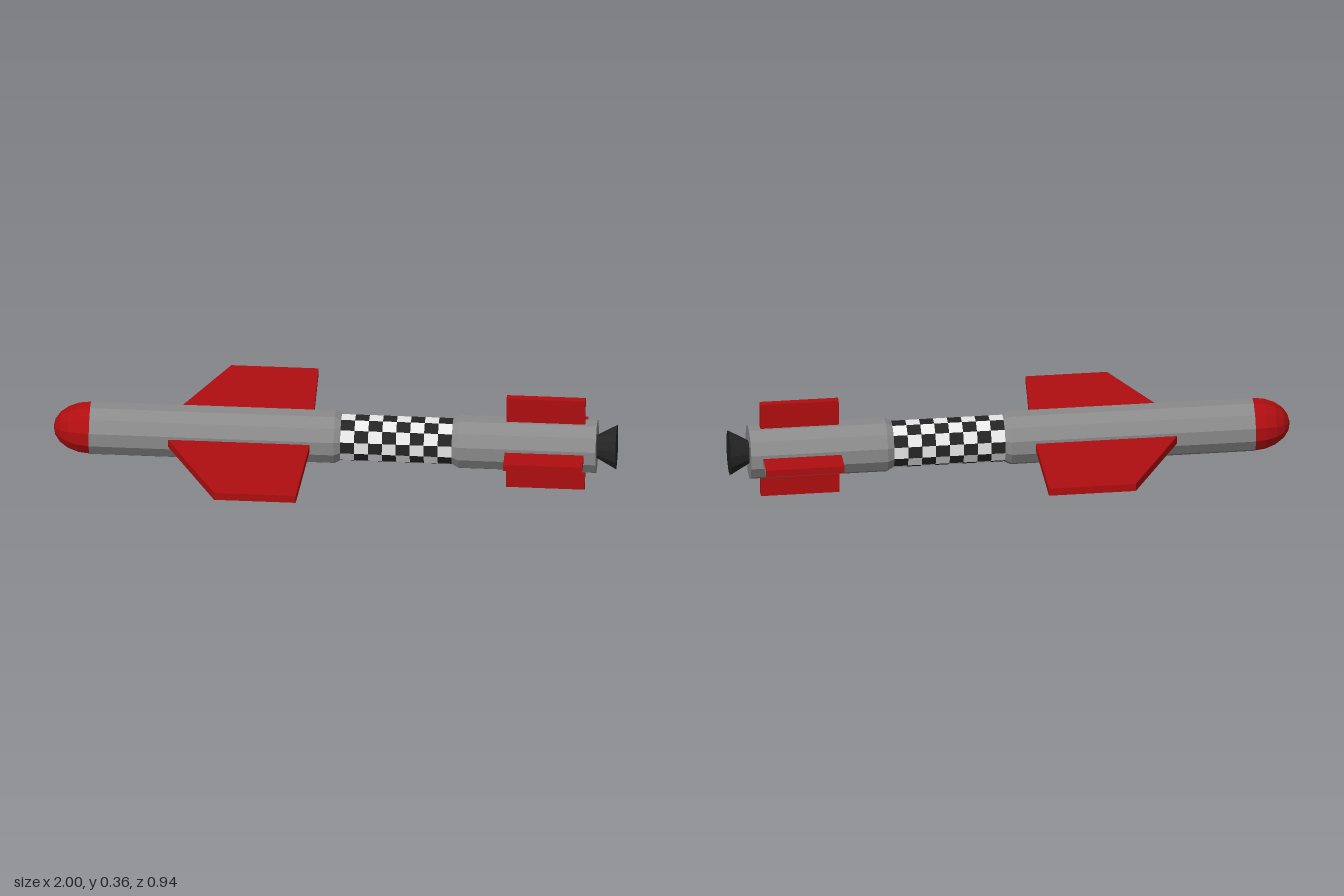
import * as THREE from 'three';

const SIDES = 12;
const material = (name, color) => {
  const m = new THREE.MeshStandardMaterial({ color });
  m.name = name;
  return m;
};

// Faceted twelve-sided body along x; points are [x, radius], running nose to tail
function turned(points) {
  const profile = points.map(([x, r]) => new THREE.Vector2(r, x));
  const geo = new THREE.LatheGeometry(profile, SIDES, Math.PI / SIDES).rotateZ(-Math.PI / 2).toNonIndexed();
  geo.computeVertexNormals();
  return geo;
}

export function createModel() {
  const red = material('red paint', 0xb00e10);
  const grey = material('grey metal', 0x8a8a8a);
  const white = material('white paint', 0xe8e8e8);
  const black = material('black', 0x242424);

  const model = new THREE.Group();
  model.name = 'missile';
  const body = new THREE.Group();
  body.name = 'airframe';
  model.add(body);
  const add = (name, geo, mat) => {
    const mesh = new THREE.Mesh(geo, mat);
    mesh.name = name;
    body.add(mesh);
    return mesh;
  };

  // Rounded nose
  const nose = [];
  for (let i = 0; i <= 5; i++) {
    const a = (i / 5) * Math.PI / 2;
    nose.push([-0.87 - 0.13 * Math.cos(a), 0.095 * Math.sin(a)]);
  }
  add('noseCone', turned(nose), red);

  // Front and tail tubes, chamfered down to the narrower middle
  add('frontTube', turned([[-0.87, 0.096], [0, 0.096], [0.022, 0.084]]), grey);
  add('tailTube', turned([[0.418, 0.084], [0.442, 0.097], [0.93, 0.097], [0.93, 0]]), grey);

  // Checkered middle: one check per facet and per column
  const columns = 8;
  const rings = [];
  for (let j = 0; j <= columns; j++) rings.push([0.022 + (0.396 * j) / columns, 0.084]);
  const checks = turned(rings);
  for (let i = 0; i < SIDES; i++) {
    for (let j = 0; j < columns; j++) checks.addGroup((i * columns + j) * 6, 6, (i + j) % 2);
  }
  add('checkeredSection', checks, [white, black]);

  // Flared, closed nozzle
  add('nozzle', turned([[0.93, 0.042], [1, 0.081], [1, 0]]), black);

  // Swept wings
  const wing = (name, side, tipRear) => {
    const shape = new THREE.Shape([
      [-0.63, 0.02], [-0.59, 0.09], [-0.4, 0.467], [tipRear, 0.467], [-0.085, 0.09], [-0.085, 0.02],
    ].map(([x, z]) => new THREE.Vector2(x, z * side)));
    const geo = new THREE.ExtrudeGeometry(shape, { depth: 0.028, bevelEnabled: false });
    add(name, geo.rotateX(Math.PI / 2).translate(0, 0.014, 0), red);
  };
  wing('leftSideWing', 1, -0.11);
  wing('rightSideWing', -1, -0.09);

  // Four tail fins; one has a bare trailing edge
  const fin = (name, y, z, mat) => {
    const geo = new THREE.BoxGeometry(0.28, Math.abs(y) || 0.026, Math.abs(z) || 0.027);
    add(name, geo.translate(0.748, y / 2, z / 2), mat);
  };
  fin('topFin', 0.187, 0, red);
  fin('bottomFin', -0.17, 0, red);
  fin('frontFin', 0, 0.182, red);
  fin('backFin', 0, -0.19, [grey, red, red, red, red, red]);

  // The whole airframe sits very slightly tilted
  body.rotation.set(0.012, -0.003, -0.007);
  body.position.set(0, 0.176, 0.003);
  return model;
}
